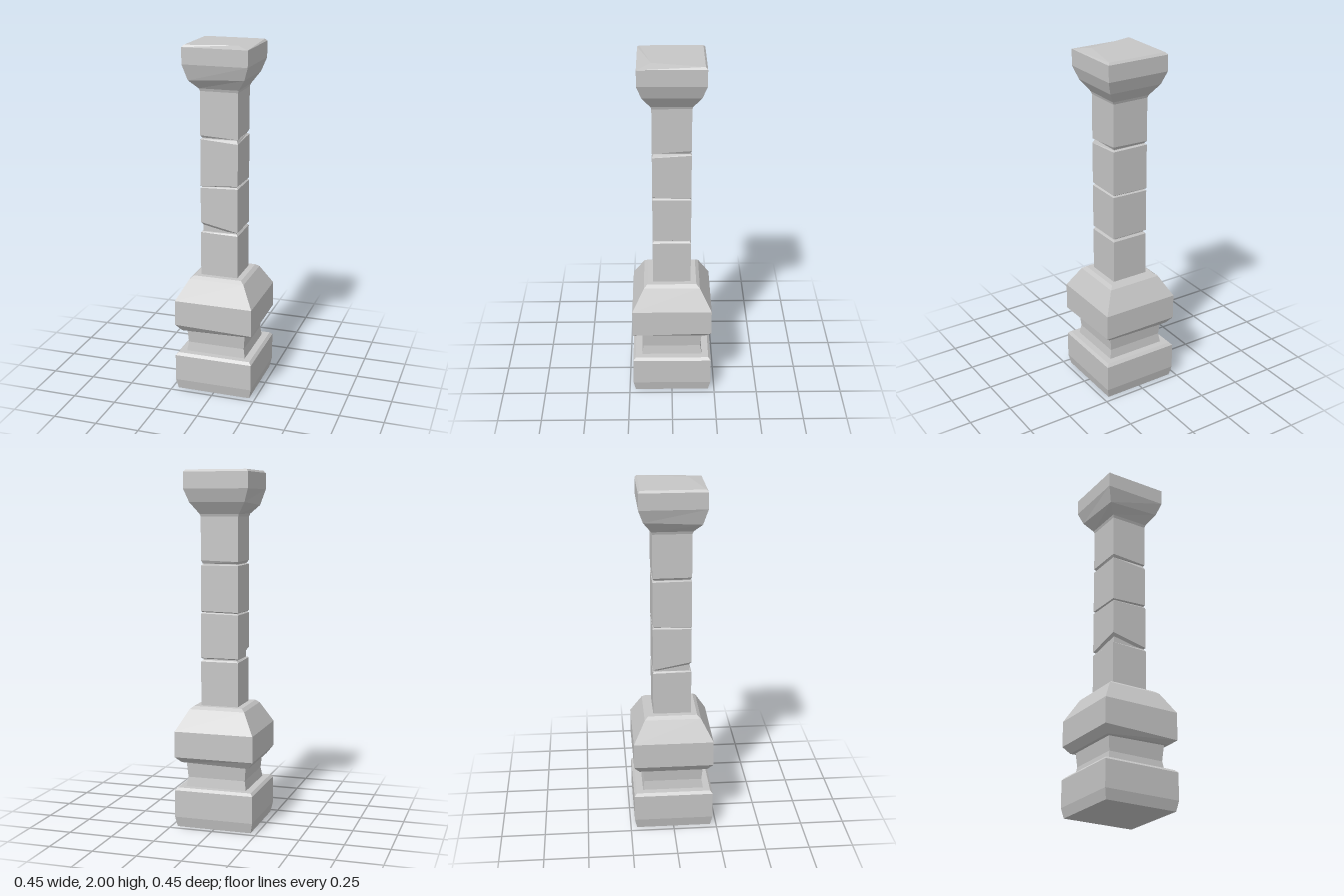
import * as THREE from 'three';

const stone = new THREE.MeshStandardMaterial({ color: 0xc6c6c6, flatShading: true });
stone.name = 'grey stone';

// Square loft. Each ring is [height, half width, optional lifts of the four corners, optional inset of one corner].
// Corner order: 0 (-x,+z), 1 (+x,+z), 2 (+x,-z), 3 (-x,-z)
const SIGNS = [[-1, 1], [1, 1], [1, -1], [-1, -1]];

function squareLoft(name, rings) {
  const corners = rings.map(([y, h, lift = [0, 0, 0, 0], inset = {}]) =>
    SIGNS.map(([sx, sz], i) => {
      const d = h - (inset[i] || 0);
      return [sx * d, y + lift[i], sz * d];
    }));
  const pos = [];
  const quad = (a, b, c, d) => pos.push(...a, ...b, ...c, ...a, ...c, ...d);
  for (let r = 0; r < corners.length - 1; r++) {
    const lo = corners[r], hi = corners[r + 1];
    for (let i = 0; i < 4; i++) {
      const j = (i + 1) % 4;
      quad(lo[i], lo[j], hi[j], hi[i]);
    }
  }
  const b = corners[0], t = corners[corners.length - 1];
  quad(b[3], b[2], b[1], b[0]);
  quad(t[0], t[1], t[2], t[3]);
  const geo = new THREE.BufferGeometry();
  geo.setAttribute('position', new THREE.Float32BufferAttribute(pos, 3));
  geo.computeVertexNormals();
  const mesh = new THREE.Mesh(geo, stone);
  mesh.name = name;
  return mesh;
}

export function createModel() {
  const group = new THREE.Group();
  group.name = 'stonePillar';

  // Foot block with chamfered edges
  group.add(squareLoft('foot', [[0, 0.215], [0.058, 0.227], [0.212, 0.227], [0.227, 0.213]]));

  // Slightly waisted neck
  group.add(squareLoft('neck', [[0.22, 0.176], [0.28, 0.166], [0.38, 0.175]]));

  // Wide shoulder with a sloping top and a worn underside
  group.add(squareLoft('shoulder', [
    [0.365, 0.195, [-0.005, 0.005, 0.005, -0.005]],
    [0.398, 0.227, [0.005, -0.006, 0.005, 0.005]],
    [0.55, 0.227],
    [0.67, 0.16],
    [0.686, 0.14],
  ]));

  // Inner core seen in the joints of the shaft
  group.add(squareLoft('shaftCore', [[0.68, 0.096], [1.76, 0.096]]));

  // Stacked shaft blocks with uneven joints
  group.add(squareLoft('shaftBlock1', [
    [0.68, 0.108],
    [0.936, 0.108, [0.004, -0.002, 0, 0]],
    [0.945, 0.1],
  ]));
  group.add(squareLoft('shaftBlock2', [
    [0.952, 0.1, [0, 0, 0, 0], { 0: 0.025 }],
    [0.958, 0.108, [0.042, -0.003, 0, 0]], // chipped corner
    [1.203, 0.108, [-0.003, 0.005, 0.005, 0]],
    [1.21, 0.1, [-0.003, 0.005, 0.005, 0]],
  ]));
  group.add(squareLoft('shaftBlock3', [
    [1.211, 0.1, [-0.004, 0.008, 0.004, 0]],
    [1.217, 0.108, [-0.005, 0.008, 0.004, 0]],
    [1.472, 0.108, [0.006, -0.01, 0.004, 0.004]],
    [1.482, 0.099],
  ]));

  // Top shaft block flaring into the capital, with a worn front corner on top
  group.add(squareLoft('capital', [
    [1.486, 0.099],
    [1.492, 0.108, [0.008, -0.004, 0.012, 0.006]],
    [1.745, 0.108],
    [1.76, 0.113],
    [1.82, 0.158, [-0.012, 0.004, 0.004, 0.004]],
    [1.897, 0.184],
    [1.988, 0.184],
    [2.0, 0.173, [0, 0, 0, 0], { 1: 0.066 }],
  ]));

  return group;
}
